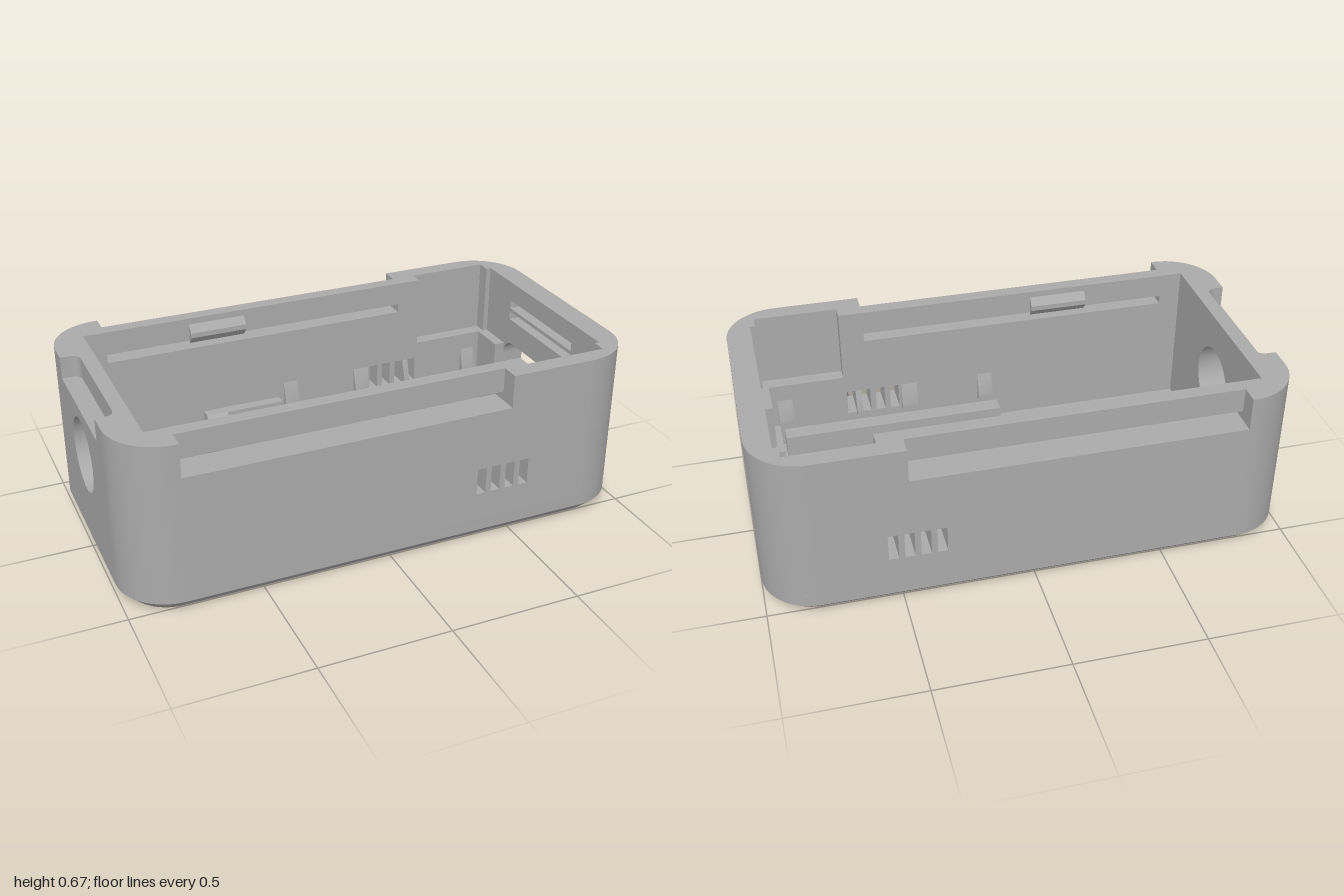
import * as THREE from 'three';
import { toCreasedNormals } from 'three/addons/utils/BufferGeometryUtils.js';

const H = 0.67, FLOOR = 0.095, CHAMFER = 0.045;
const OX = 1, OZ = 0.54, R = 0.2;          // outer half sizes and corner radius
const IZ = 0.415, MZ = 0.47;               // inner wall face and depth of notches
const LX = -0.875, RX = 0.905;             // inner end faces

export function createModel() {
  const model = new THREE.Group();
  model.name = 'enclosureBase';
  const plastic = new THREE.MeshStandardMaterial({ color: 0xaaaaaa });
  plastic.name = 'grey plastic';

  const add = (geometry, name) => {
    const mesh = new THREE.Mesh(toCreasedNormals(geometry, 0.5), plastic);
    mesh.name = name;
    model.add(mesh);
    return mesh;
  };
  const poly = pts => new THREE.Shape(pts.map(p => new THREE.Vector2(p[0], p[1])));
  const rect = (x0, y0, x1, y1) => poly([[x0, y0], [x1, y0], [x1, y1], [x0, y1]]);
  const roundRect = (x0, y0, x1, y1, r, C = THREE.Path) => {
    const p = new C();
    p.absarc(x1 - r, y0 + r, r, -Math.PI / 2, 0);
    p.absarc(x1 - r, y1 - r, r, 0, Math.PI / 2);
    p.absarc(x0 + r, y1 - r, r, Math.PI / 2, Math.PI);
    p.absarc(x0 + r, y0 + r, r, Math.PI, Math.PI * 1.5);
    p.closePath();
    return p;
  };
  const extrude = (shape, depth) =>
    new THREE.ExtrudeGeometry(shape, { depth, bevelEnabled: false, curveSegments: 16 });
  // Extrusions along each axis; shapes are (x, y), (-z, y) and (x, -z)
  const alongZ = (shape, z0, z1) => extrude(shape, z1 - z0).translate(0, 0, z0);
  const alongX = (shape, x0, x1) => extrude(shape, x1 - x0).rotateY(Math.PI / 2).translate(x0, 0, 0);
  const alongY = (shape, y0, y1) => extrude(shape, y1 - y0).rotateX(-Math.PI / 2).translate(0, y0, 0);
  const profile = pts => poly(pts.map(([z, y]) => [-z, y]));
  const box = (x0, x1, y0, y1, z0, z1, name) => add(
    new THREE.BoxGeometry(x1 - x0, y1 - y0, z1 - z0)
      .translate((x0 + x1) / 2, (y0 + y1) / 2, (z0 + z1) / 2), name);

  // Floor with five ventilation slots
  const floorShape = () => {
    const s = roundRect(-OX, -OZ, OX, OZ, R, THREE.Shape);
    for (let i = -2; i <= 2; i++) {
      const c = i * 0.104;
      s.holes.push(roundRect(0.05, c - 0.0275, 0.51, c + 0.0275, 0.027));
    }
    return s;
  };
  add(alongY(floorShape(), CHAMFER, FLOOR), 'floor');

  // Chamfered foot: pull the lower outer rim inwards
  const foot = alongY(floorShape(), 0, CHAMFER);
  const pos = foot.attributes.position;
  for (let i = 0; i < pos.count; i++) {
    const x = pos.getX(i), z = pos.getZ(i);
    const dx = x - THREE.MathUtils.clamp(x, R - OX, OX - R);
    const dz = z - THREE.MathUtils.clamp(z, R - OZ, OZ - R);
    const d = Math.hypot(dx, dz);
    if (pos.getY(i) < 0.001 && d > 0.1) {
      pos.setX(i, x - dx / d * CHAMFER);
      pos.setZ(i, z - dz / d * CHAMFER);
    }
  }
  foot.computeVertexNormals();
  add(foot, 'chamferedFoot');

  // Rounded corners, with a recess in the upper part at the right end
  const cx = OX - R, cz = OZ - R;
  const corner = (sx, sz, inner) => {
    const pts = [];
    for (let i = 0; i <= 16; i++) {
      const a = i / 16 * Math.PI / 2;
      pts.push([sx * (cx + R * Math.sin(a)), sz * (cz + R * Math.cos(a))]);
    }
    return poly([...pts, ...inner.map(([x, z]) => [sx * x, sz * z])]);
  };
  const plainL = [[-LX, cz], [-LX, IZ], [cx, IZ]];
  const plainR = [[RX, cz], [RX, IZ], [cx, IZ]];
  const recessed = [[RX, cz], [RX, IZ], [0.885, IZ], [0.885, MZ], [cx, MZ]];
  for (const s of [1, -1]) {
    add(alongY(corner(-1, s, plainL), FLOOR, H), 'leftEndCorner');
    add(alongY(corner(1, s, plainR), FLOOR, 0.38), 'rightEndCornerLower');
    add(alongY(corner(1, s, recessed), 0.38, H), 'rightEndCornerUpper');
  }

  // Long walls: outer skin with a top notch, inner skin with a slot and recess
  const vents = s => {
    for (let i = 0; i < 4; i++) {
      const x = 0.335 + i * 0.0595;
      s.holes.push(rect(x, 0.205, x + 0.037, 0.31));
    }
    return s;
  };
  const N0 = -0.79, N1 = 0.465;
  const outerSkin = vents(poly([[-cx, FLOOR], [cx, FLOOR], [cx, H], [N1, H],
    [N1, 0.54], [N0, 0.54], [N0, H], [-cx, H]]));
  const innerSkin = vents(poly([[-cx, FLOOR], [cx, FLOOR], [cx, 0.38], [0.56, 0.38],
    [0.56, H], [-cx, H]]));
  innerSkin.holes.push(rect(N0, 0.54, N1, 0.575));
  const sideZ = (shape, a, b, s) => s > 0 ? alongZ(shape, a, b) : alongZ(shape, -b, -a);
  for (const s of [1, -1]) {
    const label = s > 0 ? 'front' : 'back';
    add(sideZ(outerSkin, MZ, OZ, s), label + 'WallOuter');
    add(sideZ(innerSkin, IZ, MZ, s), label + 'WallInner');
  }

  // Right end wall: large window and two narrow slots
  const endR = rect(-cz, FLOOR - 0.01, cz, H);
  endR.holes.push(roundRect(-0.27, FLOOR - 0.008, 0.27, 0.4, 0.07));
  for (const y of [0.505, 0.555]) endR.holes.push(rect(-0.235, y, 0.235, y + 0.035));
  add(alongX(endR, RX, OX), 'windowEndWall');

  // Ledge inside the window, open at the top
  const ledge = new THREE.Shape();
  ledge.moveTo(-IZ, FLOOR - 0.01);
  ledge.lineTo(IZ, FLOOR - 0.01);
  ledge.lineTo(IZ, 0.38);
  ledge.lineTo(0.265, 0.38);
  ledge.lineTo(0.27, 0.16);
  ledge.quadraticCurveTo(0.27, FLOOR, 0.2, FLOOR);
  ledge.lineTo(-0.2, FLOOR);
  ledge.quadraticCurveTo(-0.27, FLOOR, -0.27, 0.16);
  ledge.lineTo(-0.265, 0.38);
  ledge.lineTo(-IZ, 0.38);
  add(alongX(ledge, 0.862, RX), 'windowLedge');

  // Left end wall: round hole and a soft-cornered notch in the rim
  const endL = rect(-cz, FLOOR, cz, 0.585);
  const hole = new THREE.Path();
  hole.absarc(0, 0.395, 0.143, 0, Math.PI * 2);
  endL.holes.push(hole);
  add(alongX(endL, -OX, LX), 'roundHoleEndWall');
  const rim = new THREE.Shape();
  rim.moveTo(-OX, -cz);
  rim.lineTo(LX, -cz);
  rim.lineTo(LX, cz);
  rim.lineTo(-OX, cz);
  rim.lineTo(-OX, 0.26);
  rim.lineTo(-0.97, 0.26);
  rim.quadraticCurveTo(-0.93, 0.26, -0.93, 0.22);
  rim.lineTo(-0.93, -0.22);
  rim.quadraticCurveTo(-0.93, -0.26, -0.97, -0.26);
  rim.lineTo(-OX, -0.26);
  add(alongY(rim, 0.585, H), 'roundHoleEndRim');

  // Board rails, corner posts, board clips and lid catches on both long sides
  const clips = [[-0.06, 0], [0.26, 0.325], [0.491, 0.515], [0.775, 0.835]];
  for (const s of [1, -1]) {
    const z = (a, b) => s > 0 ? [a, b] : [-b, -a];
    box(-0.075, 0.82, FLOOR, 0.19, ...z(0.318, 0.385), 'boardRail');
    box(0.835, 0.87, FLOOR, 0.19, ...z(0.228, IZ), 'cornerPost');
    const clip = profile([[s * IZ, 0.31], [s * 0.39, 0.23], [s * 0.39, 0.205], [s * IZ, 0.19]]);
    for (const [a, b] of clips) add(alongX(clip, a, b), 'boardClip');
    const lidCatch = profile([[s * IZ, 0.645], [s * 0.39, 0.615], [s * 0.39, 0.595], [s * IZ, 0.565]]);
    add(alongX(lidCatch, -0.455, -0.225), 'lidCatch');
  }

  // Holder on the floor: wide channel with a narrower chamfered mouth
  const channel = (z0, z1, c) => profile([[-0.29, FLOOR], [-0.12, FLOOR], [-0.12, 0.317],
    [z1 + c, 0.317], [z1, 0.317 - c], [z1, 0.23], [z0, 0.23], [z0, 0.317 - c],
    [z0 - c, 0.317], [-0.29, 0.317]]);
  add(alongX(channel(-0.25, -0.163, 0.001), -0.365, -0.13), 'holderChannel');
  add(alongX(channel(-0.227, -0.185, 0.02), -0.45, -0.365), 'holderMouth');
  box(-0.67, -0.505, FLOOR, 0.25, -0.32, -0.095, 'supportBlock');

  return model;
}
